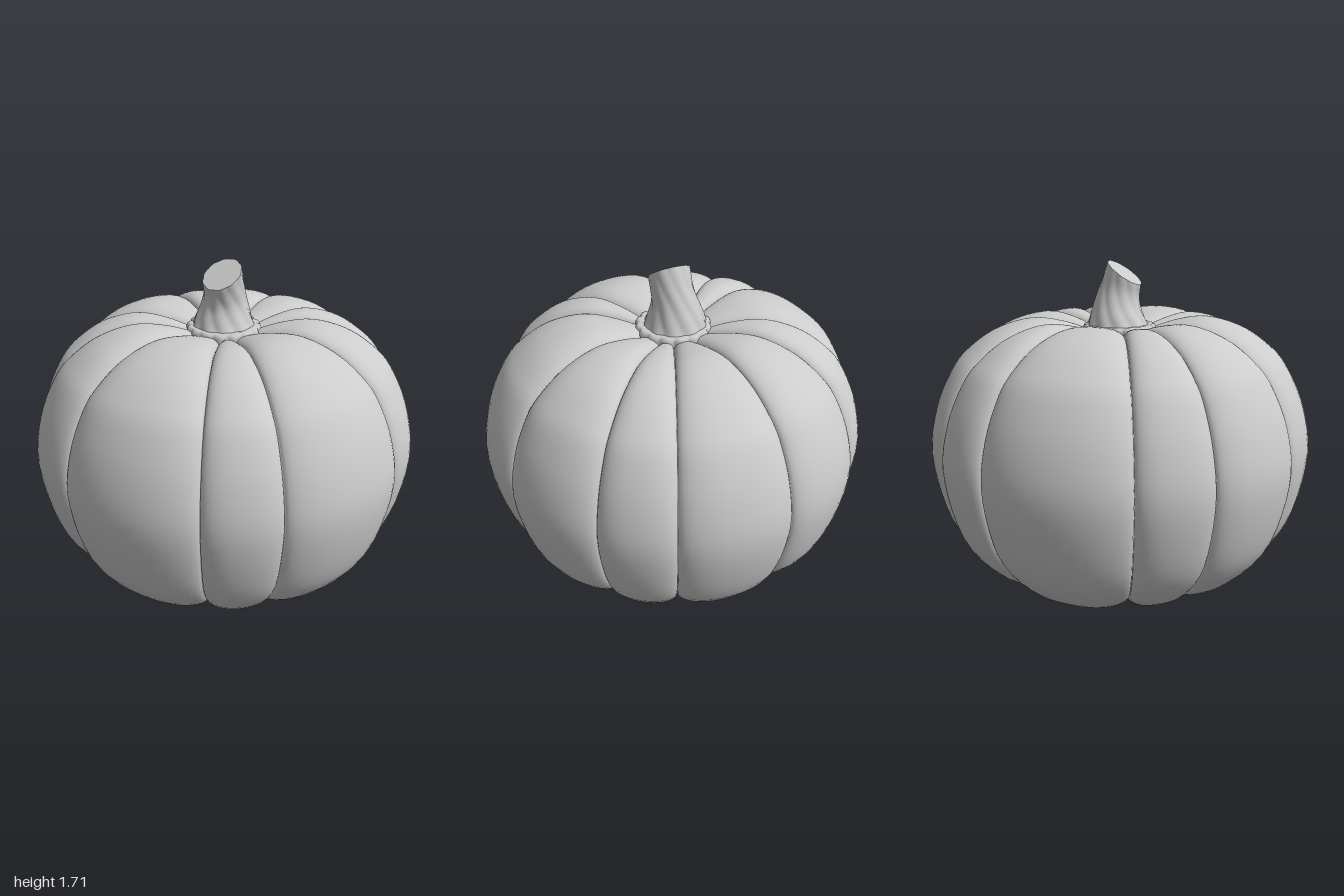
import * as THREE from 'three';

const rad = THREE.MathUtils.degToRad;

// Closed loft: rows stacked upward, columns running around the y axis.
function loft(rows, cols, point) {
  const pos = [], index = [];
  for (let i = 0; i < rows; i++) {
    for (let j = 0; j < cols; j++) pos.push(...point(i / (rows - 1), j));
  }
  for (let i = 0; i < rows - 1; i++) {
    for (let j = 0; j < cols; j++) {
      const k = (j + 1) % cols;
      const a = i * cols + j, b = i * cols + k;
      const c = a + cols, d = b + cols;
      index.push(a, c, b, b, c, d);
    }
  }
  const g = new THREE.BufferGeometry();
  g.setAttribute('position', new THREE.Float32BufferAttribute(pos, 3));
  g.setIndex(index);
  g.computeVertexNormals();
  return g;
}

// Body: uneven lobes swelling outward from a groove profile.
function bodyGeometry() {
  const profile = new THREE.SplineCurve([
    [0, 0.09], [0.1, 0.068], [0.25, 0.065], [0.45, 0.09], [0.585, 0.15], [0.735, 0.25],
    [0.87, 0.44], [0.935, 0.75], [0.9, 0.98], [0.815, 1.165], [0.735, 1.255], [0.61, 1.34],
    [0.45, 1.388], [0.3, 1.375], [0.15, 1.335], [0.05, 1.32], [0, 1.32],
  ].map(([r, y]) => new THREE.Vector2(r, y)));

  const grooves = [-11.25, 33.75, 56.25, 101.25, 135, 157.5, 202.5, 225, 258.75, 292.5, 315];
  const steps = 20;
  const columns = [];
  grooves.forEach((start, n) => {
    const end = n + 1 < grooves.length ? grooves[n + 1] : grooves[0] + 360;
    const height = 0.055 + 0.01 * (end - start - 22.5) / 22.5;
    for (let s = 0; s < steps; s++) {
      const u = -Math.cos(Math.PI * s / steps); // finer near the grooves
      columns.push({
        angle: rad((start + end) / 2 + u * (end - start) / 2),
        swell: height * Math.sqrt(Math.max(0, 1 - Math.abs(u) ** 2.5)),
      });
    }
  });

  return loft(73, columns.length, (t, j) => {
    const p = profile.getPoint(t), d = profile.getTangent(t);
    const { angle, swell } = columns[j];
    const w = swell * 1.1 * p.x / (p.x + 0.1);
    const r = Math.max(0, p.x + d.y * w);
    return [r * Math.cos(angle), p.y - d.x * w, r * Math.sin(angle)];
  });
}

// Stem: twisted ridges on a spine leaning forward to a slanted cut.
const spine = new THREE.CatmullRomCurve3([
  [-0.005, 1.36, -0.005], [-0.01, 1.44, -0.008], [-0.005, 1.52, -0.008],
  [0.005, 1.59, 0.004], [0.01, 1.665, 0.025],
].map((p) => new THREE.Vector3(...p)));
const stemRadius = new THREE.SplineCurve([
  [0, 0.168], [0.25, 0.142], [0.5, 0.115], [0.75, 0.103], [1, 0.102],
].map((p) => new THREE.Vector2(...p)));
const stemCols = 80;

function stemPoint(t, j, scale = 1) {
  const a = j / stemCols * Math.PI * 2;
  const ridge = 1 + 0.07 * (Math.abs(Math.cos(5 * (a - 1.1 * t))) - 0.6) * (1 - 0.5 * t);
  const r = stemRadius.getPoint(t).y * ridge * scale;
  const c = spine.getPoint(t);
  const tilt = 0.61 * t * t;
  const z = r * Math.sin(a);
  return [c.x + r * Math.cos(a), c.y - z * Math.sin(tilt), c.z + z * Math.cos(tilt)];
}

// Scalloped collar where the stem meets the body.
function collarGeometry() {
  const section = [[0.185, 1.33], [0.189, 1.385], [0.183, 1.402], [0.17, 1.408], [0.14, 1.405]];
  const cols = 128;
  return loft(section.length, cols, (t, j) => {
    const a = j / cols * Math.PI * 2;
    const [r0, y] = section[Math.round(t * (section.length - 1))];
    const r = r0 + 0.012 * (Math.abs(Math.sin(8 * a)) - 0.7);
    return [r * Math.cos(a), y, r * Math.sin(a)];
  });
}

export function createModel() {
  const group = new THREE.Group();
  group.name = 'pumpkin';
  const material = new THREE.MeshStandardMaterial({ color: 0xcccccc });
  const add = (name, geometry) => {
    const mesh = new THREE.Mesh(geometry, material);
    mesh.name = name;
    group.add(mesh);
  };
  add('body', bodyGeometry());
  add('stemCollar', collarGeometry());
  add('stem', loft(25, stemCols, (t, j) => stemPoint(t, j)));
  add('stemCut', loft(2, stemCols, (t, j) => stemPoint(1, j, 1 - t)));
  return group;
}
